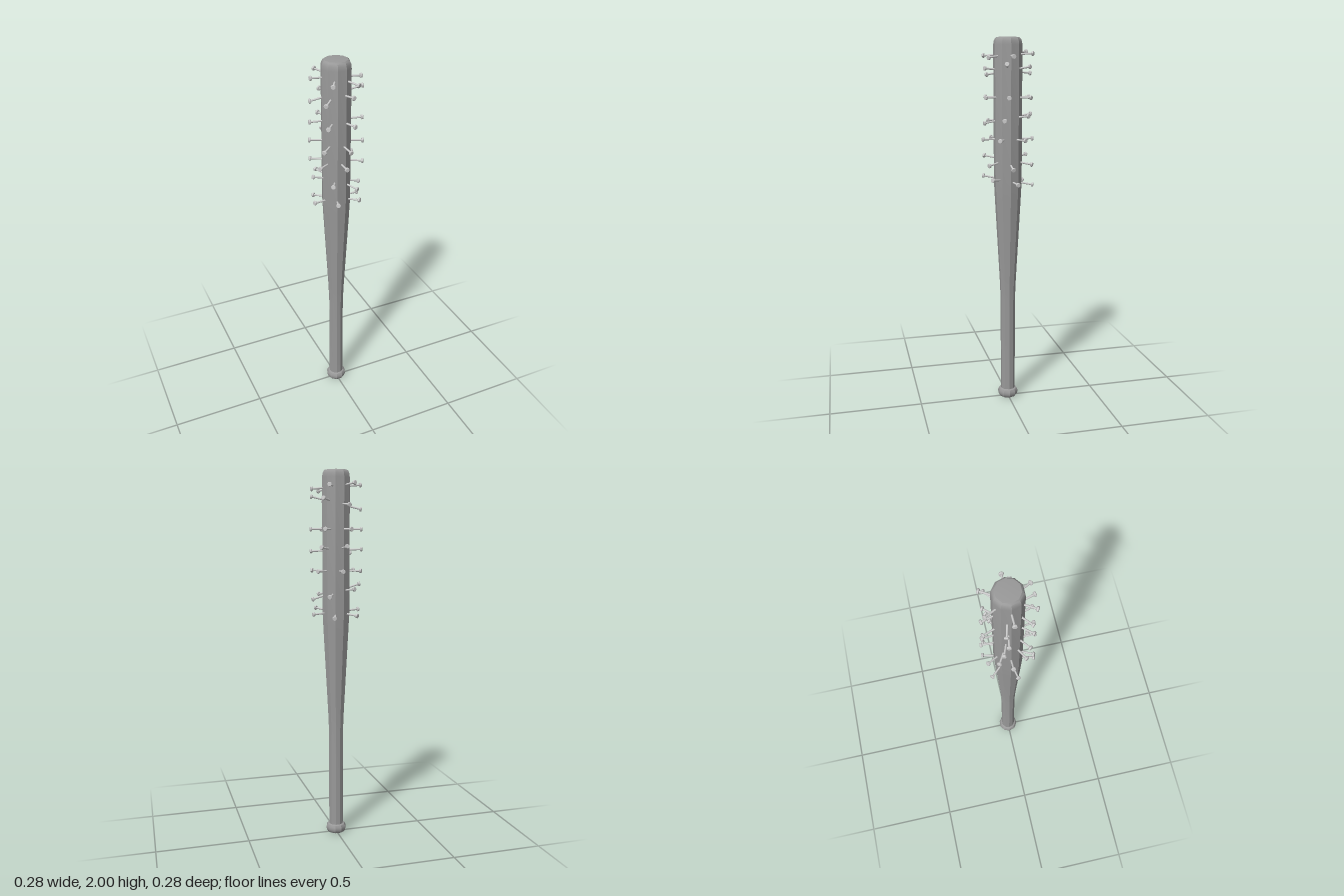
import * as THREE from 'three';
import { toCreasedNormals } from 'three/addons/utils/BufferGeometryUtils.js';

export function createModel() {
  const model = new THREE.Group();
  model.name = 'spikedBat';
  const batMaterial = new THREE.MeshStandardMaterial({ color: 0x999999 });
  const nailMaterial = new THREE.MeshStandardMaterial({ color: 0xc0c0c0 });

  // Turned shape from [radius, height] pairs, with its sharp edges kept
  const turned = (profile, sides, crease) => {
    const points = profile.map(([r, y]) => new THREE.Vector2(r, y));
    return toCreasedNormals(new THREE.LatheGeometry(points, sides, Math.PI / 2), crease);
  };

  // Ten-sided body with rounded ends
  const addBody = (name, profile) => {
    const mesh = new THREE.Mesh(turned(profile, 10, 0.55), batMaterial);
    mesh.name = name;
    model.add(mesh);
  };
  addBody('knob', [
    [0, 0], [0.038, 0], [0.046, 0.003], [0.053, 0.012], [0.056, 0.024],
    [0.055, 0.036], [0.049, 0.047], [0.038, 0.052],
  ]);
  addBody('barrelAndHandle', [
    [0.04, 0.05], [0.04, 0.58], [0.045, 0.7], [0.07, 1.15], [0.075, 1.25],
    [0.076, 1.96], [0.0735, 1.98], [0.068, 1.992], [0.06, 1.999], [0.05, 2], [0, 2],
  ]);

  // Nail pointing along +y from the bat's axis
  const shaftGeometry = new THREE.CylinderGeometry(0.005, 0.005, 0.08, 8).translate(0, 0.092, 0);
  const headGeometry = turned([
    [0, 0.128], [0.01, 0.128], [0.0125, 0.131], [0.0125, 0.137], [0.01, 0.14], [0, 0.14],
  ], 8, 0.95);
  const up = new THREE.Vector3(0, 1, 0);

  // Rings of six nails: height, start angle in degrees, slope of the ring in x and z
  const rings = [
    [1.912, 0, -0.09, -0.09],
    [1.83, 15, 0.25, 0.03],
    [1.694, 10, 0, 0],
    [1.584, 20, 0.02, -0.17],
    [1.476, 30, 0, 0],
    [1.364, 0, -0.3, 0],
    [1.255, -11, -0.03, 0.17],
  ];
  rings.forEach(([y, start, slopeX, slopeZ], i) => {
    const ring = new THREE.Group();
    ring.name = `nailRing${i + 1}`;
    ring.position.y = y;
    for (let k = 0; k < 6; k++) {
      const a = THREE.MathUtils.degToRad(start + k * 60);
      const x = Math.cos(a), z = Math.sin(a);
      const direction = new THREE.Vector3(x, slopeX * x + slopeZ * z, z).normalize();
      const nail = new THREE.Group();
      nail.name = 'nail';
      const shaft = new THREE.Mesh(shaftGeometry, nailMaterial);
      shaft.name = 'nailShaft';
      const head = new THREE.Mesh(headGeometry, nailMaterial);
      head.name = 'nailHead';
      nail.add(shaft, head);
      nail.quaternion.setFromUnitVectors(up, direction);
      ring.add(nail);
    }
    model.add(ring);
  });
  return model;
}
